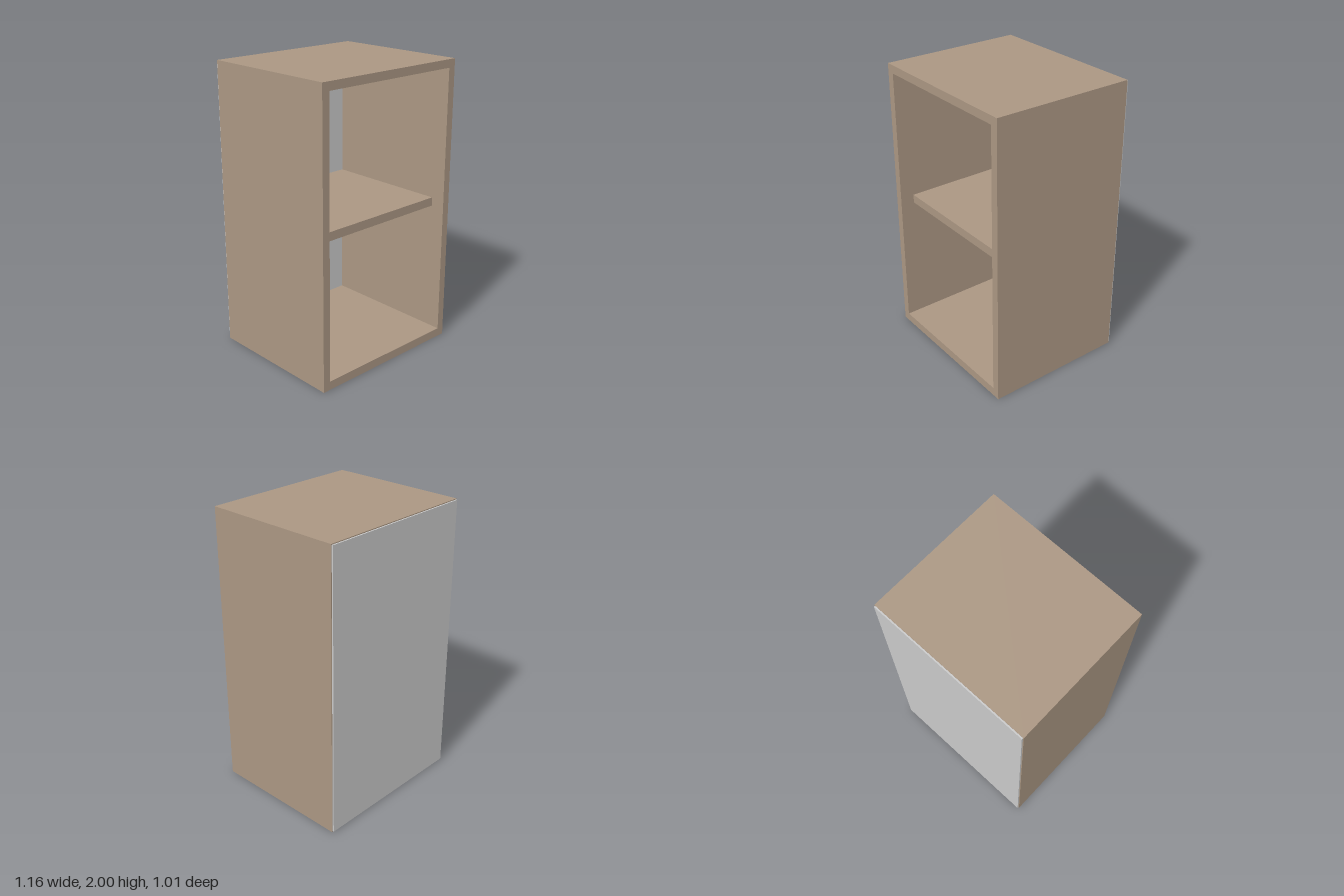
import * as THREE from 'three';

export function createModel() {
  const wood = new THREE.MeshStandardMaterial({ name: 'wood', color: 0xab9783 });
  const backing = new THREE.MeshStandardMaterial({ name: 'greyBacking', color: 0xc9c9c9 });

  const width = 1.164, height = 2, front = 0.505, back = -0.495;
  const inner = { x: 0.528, bottom: 0.06, top: 1.944 };

  const group = new THREE.Group();
  group.name = 'cabinet';

  const addBox = (name, material, w, y0, y1, z0, z1) => {
    const mesh = new THREE.Mesh(new THREE.BoxGeometry(w, y1 - y0, z1 - z0), material);
    mesh.position.set(0, (y0 + y1) / 2, (z0 + z1) / 2);
    mesh.name = name;
    group.add(mesh);
  };

  // Carcass: sides, top and floor as one open frame
  const rect = (path, x, y0, y1) =>
    path.moveTo(-x, y0).lineTo(x, y0).lineTo(x, y1).lineTo(-x, y1).closePath();
  const outline = new THREE.Shape();
  rect(outline, width / 2, 0, height);
  const opening = new THREE.Path();
  rect(opening, inner.x, inner.bottom, inner.top);
  outline.holes.push(opening);
  const frame = new THREE.Mesh(
    new THREE.ExtrudeGeometry(outline, { depth: front - back, bevelEnabled: false }), wood);
  frame.position.z = back;
  frame.name = 'carcass';
  group.add(frame);

  // Middle shelf, set back from the front edge
  addBox('shelf', wood, inner.x * 2, 0.973, 1.033, back, 0.405);

  // Thin back panel, slightly smaller than the carcass
  addBox('backPanel', backing, width - 0.011, 0.006, height - 0.006, -0.505, back);

  return group;
}
